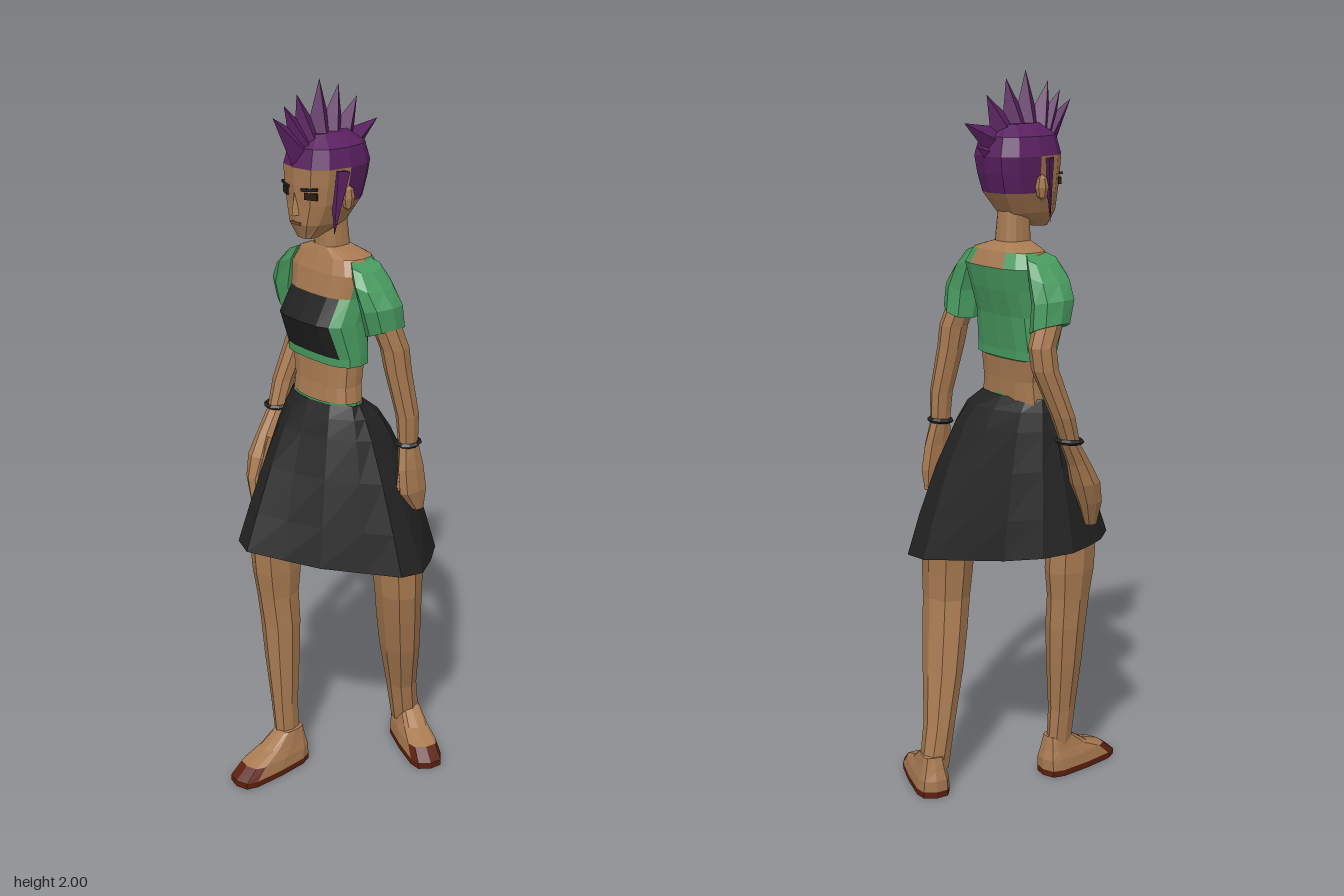
import * as THREE from 'three';

const mat = (name, color) => Object.assign(new THREE.MeshStandardMaterial({ color }), { name });

export function createModel() {
  const model = new THREE.Group();
  const skin = mat('skin', 0xa87a51), green = mat('green', 0x489a5f), purple = mat('purple', 0x5a2060);
  const black = mat('black', 0x222223), brown = mat('shoe brown', 0x5c1f0d);
  const dark = mat('eye dark', 0x2a1a12), lip = mat('lip', 0x7d4f38);
  black.side = green.side = THREE.DoubleSide;

  const add = (name, geo, material) => {
    const g = geo.index ? geo.toNonIndexed() : geo;
    g.computeVertexNormals(); // faceted normals
    const m = new THREE.Mesh(g, material);
    m.name = name;
    model.add(m);
    return m;
  };

  // Ring of n points, counted from the front towards +x; power below 1 makes it boxier, slope tilts it sideways
  const ring = ([x, y, z, rx, rz, slope = 0], n, power) => Array.from({ length: n }, (_, j) => {
    const a = j / n * Math.PI * 2, s = Math.sin(a), c = Math.cos(a);
    const f = v => Math.abs(v) < 1e-6 ? 0 : Math.sign(v) * Math.abs(v) ** power;
    return [x + rx * f(s), y + slope * rx * f(s), z + rz * f(c)];
  });

  // Skin over rings listed bottom to top; pick(band, side) selects the material slot
  const skinRings = (rings, caps = true, pick = () => 0) => {
    const slots = [];
    const put = (k, ...p) => (slots[k] ??= []).push(...p.flat());
    const n = rings[0].length;
    for (let i = 0; i < rings.length - 1; i++) for (let j = 0; j < n; j++) {
      const k = (j + 1) % n, lo = rings[i], hi = rings[i + 1];
      put(pick(i, j), lo[j], lo[k], hi[k], lo[j], hi[k], hi[j]);
    }
    if (caps) for (let j = 1; j < n - 1; j++) {
      const b = rings[0], t = rings.at(-1);
      put(pick(0, j), b[0], b[j + 1], b[j]);
      put(pick(rings.length - 2, j), t[0], t[j], t[j + 1]);
    }
    const geo = new THREE.BufferGeometry();
    geo.setAttribute('position', new THREE.Float32BufferAttribute(slots.flat(), 3));
    let start = 0;
    slots.forEach((s, k) => { geo.addGroup(start, s.length / 3, k); start += s.length / 3; });
    return geo;
  };
  const loft = (name, rows, material, { n = 8, power = 0.9, caps = true, pick } = {}) =>
    add(name, skinRings(rows.map(r => ring(r, n, power)), caps, pick), pick ? material : [material]);

  // Four-sided spike from base to tip, squashed sideways
  const spike = (name, base, tip, r, material, squash = 0.8) => {
    const a = new THREE.Vector3(...base), d = new THREE.Vector3(...tip).sub(a);
    const geo = new THREE.ConeGeometry(r, d.length(), 4).translate(0, d.length() / 2, 0).scale(squash, 1, 1);
    const m = add(name, geo, material);
    m.position.copy(a);
    m.quaternion.setFromUnitVectors(new THREE.Vector3(0, 1, 0), d.normalize());
  };

  // Torso, bare neck, open cropped shirt and dark top
  loft('torso', [
    [-.018, 1.1, -.015, .118, .06], [-.022, 1.19, -.023, .109, .056], [-.028, 1.25, -.028, .117, .058],
    [-.03, 1.253, -.027, .134, .063], [-.03, 1.275, -.027, .134, .063], [-.03, 1.37, -.014, .127, .091],
    [-.03, 1.44, -.045, .124, .08], [-.03, 1.5, -.057, .135, .08], [-.03, 1.54, -.055, .112, .062],
    [-.033, 1.562, -.045, .042, .043], [-.033, 1.66, -.04, .036, .038],
  ], [skin, green, black], {
    n: 16, power: 0.7,
    pick: (i, j) => {
      const side = Math.min(j, 15 - j);
      if (i < 2 || i > 7) return 0;
      if (i < 4) return 1;
      if (i < 6) return side < 2 ? 2 : 1;
      if (i === 6) return side < 3 ? 0 : 1;
      return side > 3 && side < 7 ? 1 : 0;
    },
  });

  // Sleeves with slanted cuffs
  loft('rightSleeve', [[-.212, 1.352, -.068, .045, .056, -.4], [-.21, 1.42, -.056, .044, .062, -.2],
    [-.186, 1.485, -.05, .042, .062, .4], [-.158, 1.527, -.05, .026, .048, .5]], green);
  loft('leftSleeve', [[.15, 1.352, -.072, .043, .056, .4], [.147, 1.42, -.06, .044, .063, .2],
    [.122, 1.485, -.052, .041, .062, -.4], [.096, 1.527, -.05, .026, .048, -.5]], green);

  // Arms with hands
  loft('rightArm', [[-.2, .79, .092, .014, .018], [-.215, .86, .075, .027, .036], [-.22, .92, .052, .038, .042],
    [-.228, .98, .022, .028, .034], [-.235, 1.04, -.015, .025, .027], [-.24, 1.12, -.045, .03, .032],
    [-.226, 1.25, -.095, .034, .036], [-.22, 1.31, -.1, .035, .036], [-.21, 1.4, -.06, .036, .04],
    [-.165, 1.5, -.05, .026, .035]], skin);
  loft('leftArm', [[.213, .84, -.145, .011, .018], [.212, .9, -.126, .021, .048], [.207, .97, -.12, .022, .045],
    [.197, 1.04, -.118, .022, .03], [.195, 1.12, -.115, .028, .033], [.176, 1.25, -.095, .033, .038],
    [.17, 1.31, -.088, .035, .041], [.148, 1.4, -.063, .036, .042], [.103, 1.5, -.05, .026, .035]], skin);
  spike('rightThumb', [-.2, .97, .04], [-.185, .86, .1], .02, skin);
  spike('leftThumb', [.2, .98, -.1], [.2, .87, -.072], .02, skin);

  // Bracelets
  for (const [name, x, y, z, r] of [['rightBracelet', -.235, 1.05, -.018, .034], ['leftBracelet', .197, 1.04, -.118, .031]]) {
    const b = add(name, new THREE.TorusGeometry(r, .007, 4, 10), black);
    b.position.set(x, y, z);
    b.rotation.x = Math.PI / 2 + .08;
  }

  // Skirt: waist oval blending into an uneven hem, fuller behind, open below
  const hem = [[-.066, .238], [.02, .185], [.114, .125], [.2, .035], [.268, -.036], [.278, -.107], [.235, -.18],
    [.18, -.25], [.1, -.254], [0, -.195], [-.105, -.134], [-.18, -.06], [-.212, .02], [-.2, .09], [-.18, .15], [-.13, .216]];
  const skirtRing = s => hem.map(([x, z]) => {
    const a = Math.atan2((x - .02) / .22, (z + .01) / .23), t = s ** (z < -.12 ? .58 : .78);
    const wx = -.018 + .124 * Math.sin(a), wz = -.015 + .066 * Math.cos(a);
    const low = .705 - .08 * x + .06 * z;
    return [wx + (x - wx) * t, 1.145 + (low - 1.145) * s, wz + (z - wz) * t];
  });
  add('skirt', skinRings([1, .75, .45, .2, .08, 0].map(skirtRing), false), [black]);
  loft('waistTrim', [[-.018, 1.13, -.015, .119, .063], [-.018, 1.15, -.015, .119, .063]], green,
    { n: 16, power: 1, caps: false });

  // Legs
  loft('rightLeg', [[-.057, .07, .105, .028, .038], [-.064, .2, .11, .034, .04], [-.076, .35, .107, .046, .051],
    [-.084, .46, .105, .052, .057], [-.089, .55, .11, .052, .062], [-.091, .63, .112, .059, .073],
    [-.092, .7, .115, .06, .074], [-.085, 1, .01, .07, .06]], skin);
  loft('leftLeg', [[.07, .07, -.25, .038, .042], [.08, .2, -.222, .045, .042], [.105, .35, -.188, .062, .052],
    [.12, .46, -.168, .068, .057], [.132, .55, -.153, .071, .06], [.13, .63, -.15, .076, .065],
    [.124, .7, -.15, .077, .07], [.05, 1, -.03, .065, .06]], skin);

  // Feet in flat shoes: sole and toe cap in brown, instep bare
  for (const [name, x, z, turn] of [['rightFoot', -.052, .105, 0.04], ['leftFoot', .072, -.256, 1.17]]) {
    const foot = loft(name, [[0, 0, .075, .051, .13], [0, .018, .075, .051, .13], [0, .05, .055, .047, .11],
      [0, .075, .025, .039, .072], [0, .115, 0, .03, .038]], [skin, brown],
    { n: 12, power: .55, pick: (i, j) => i === 0 || (i === 1 && (j < 2 || j > 9)) ? 1 : 0 });
    foot.position.set(x, 0, z);
    foot.rotation.y = turn;
  }

  // Head with the close-cropped hair over crown, sides and back
  const hx = -.032;
  loft('head', [[hx, 1.595, .04, .028, .024], [hx, 1.635, .002, .06, .08], [hx, 1.69, -.018, .082, .101],
    [hx, 1.74, -.023, .09, .11], [hx, 1.785, -.026, .096, .114], [hx, 1.835, -.026, .084, .1],
    [hx, 1.865, -.026, .036, .06]], [skin, purple],
  { n: 12, power: .8, pick: (i, j) => i >= 4 || (i >= 2 && j >= 3 && j <= 8) ? 1 : 0 });

  // Mirrored face and side details
  for (const [side, s] of [['right', -1], ['left', 1]]) {
    const ear = add(side + 'Ear', new THREE.SphereGeometry(1, 6, 4).scale(.014, .034, .02), skin);
    ear.position.set(hx + s * .091, 1.705, -.02);
    spike(side + 'Sideburn', [hx + s * .086, 1.78, .006], [hx + s * .08, 1.61, .018], .028, purple, .5);
    const eye = add(side + 'Eye', new THREE.BoxGeometry(.036, .018, .008), dark);
    eye.position.set(hx + s * .049, 1.715, .071);
    const brow = add(side + 'Brow', new THREE.BoxGeometry(.046, .007, .009), black);
    brow.position.set(hx + s * .047, 1.733, .075);
    eye.rotation.y = brow.rotation.y = s * .42;
    brow.rotation.z = s * .1;
  }
  spike('nose', [hx, 1.66, .078], [hx, 1.735, .083], .017, skin);
  add('mouth', new THREE.BoxGeometry(.034, .007, .008), lip).position.set(hx, 1.638, .08);

  // Mohawk: fan of spikes given as base z, base y, tip z, tip y, width
  const fan = [[.06, 1.82, .152, 1.92, .042], [.05, 1.83, .115, 1.945, .046], [.035, 1.84, .073, 1.97, .05],
    [.0, 1.84, -.003, 2, .052], [-.035, 1.84, -.068, 1.98, .052], [-.07, 1.83, -.132, 1.94, .052],
    [-.095, 1.815, -.205, 1.872, .046], [-.11, 1.79, -.165, 1.81, .032]];
  fan.forEach(([bz, by, tz, ty, r], i) =>
    spike('mohawkSpike' + (i + 1), [hx - .003, by, bz], [hx - .003, ty, tz], r, purple, .7));

  return model;
}
